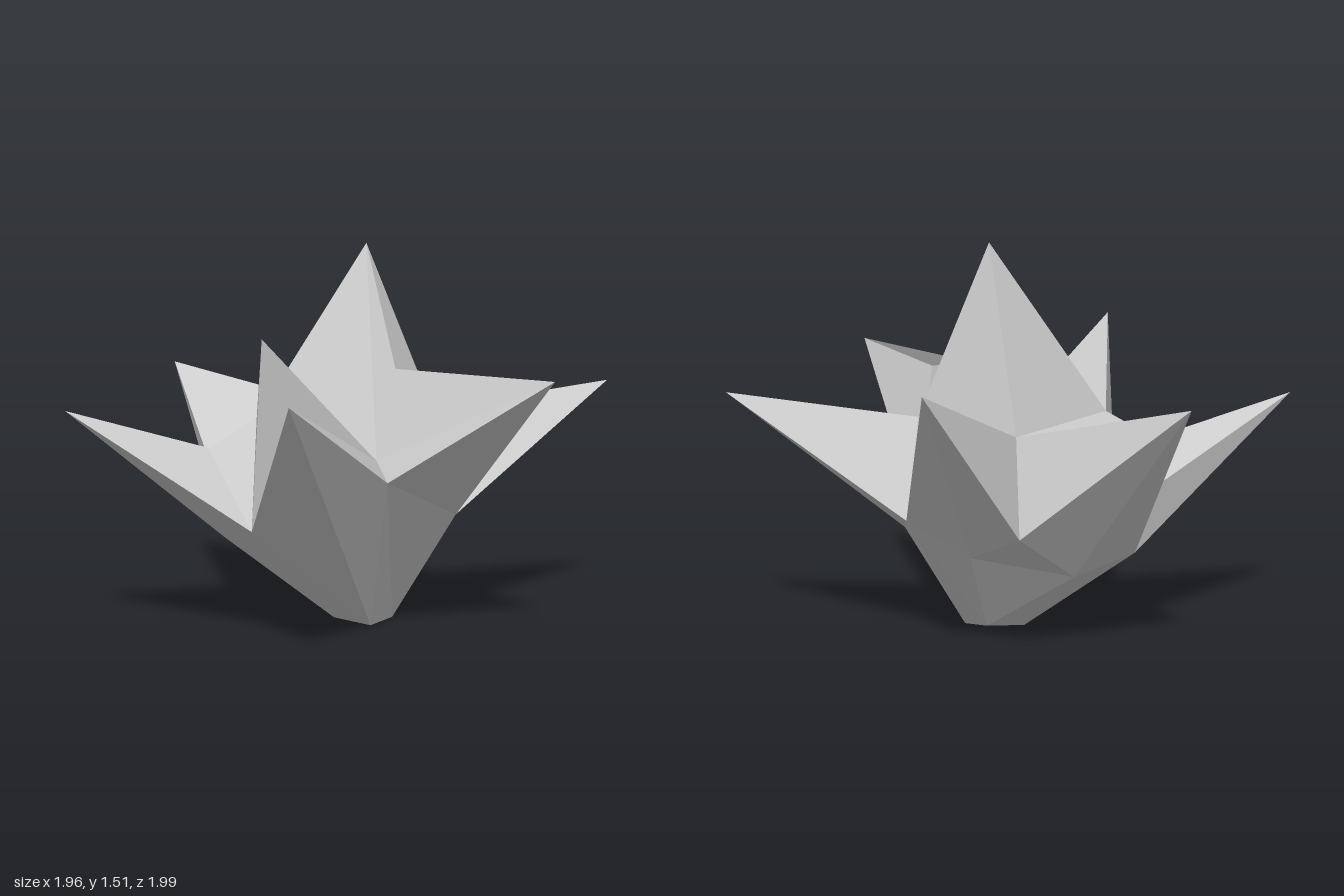
import * as THREE from 'three';

// Corners where neighbouring spikes meet, [x, y, z]
const P = {
  // upper rim and valleys
  crownLeftBack: [0.21, 0.84, -0.39], crownRightBack: [-0.31, 0.82, -0.39],
  crownRight: [-0.22, 0.84, 0.22], crownFront: [0.26, 0.70, 0.10],
  crownLeft: [0.21, 1.03, -0.11], ridge: [0.49, 0.98, -0.04],
  back: [0.08, 0.48, -0.58], leftBack: [0.43, 0.46, -0.21],
  leftFront: [0.40, 0.65, 0.24], front: [-0.06, 0.45, 0.47],
  rightInner: [-0.35, 0.73, 0.36], rightOuter: [-0.50, 0.56, 0.13],
  // underside
  underRightBack: [-0.43, 0.47, -0.50], underRightFront: [-0.45, 0.32, 0.13],
  underRight: [-0.43, 0.28, -0.20], underLeftBack: [0.27, 0.40, -0.41],
  underBack: [-0.14, 0.35, -0.46],
  // small foot
  footA: [0.13, 0, -0.06], footB: [-0.06, 0, -0.08],
  footC: [-0.01, 0.02, -0.24], footD: [0.13, 0, -0.22],
};

// Spikes: tip and the ring around its base, counter-clockwise seen from the tip
const spikes = {
  centreSpike: [[0.02, 1.51, -0.19],
    'crownRightBack', 'crownRight', 'crownFront', 'crownLeft', 'crownLeftBack'],
  frontInnerSpike: [[0.03, 1.19, 0.52], 'crownRight', 'front', 'crownFront'],
  frontLeftSpike: [[0.49, 1.03, 0.99], 'crownFront', 'front', 'footA', 'leftFront'],
  frontRightSpike: [[-0.69, 0.90, 0.80],
    'rightInner', 'rightOuter', 'underRightFront', 'front'],
  rightSpike: [[-0.98, 0.97, -0.21],
    'crownRightBack', 'underRightBack', 'underRight', 'underRightFront', 'rightOuter'],
  backRightSpike: [[-0.45, 1.05, -1.0],
    'crownRightBack', 'back', 'underBack', 'underRightBack'],
  backLeftSpike: [[0.73, 0.94, -0.91],
    'crownLeftBack', 'leftBack', 'underLeftBack', 'back'],
  leftSpike: [[0.98, 1.05, 0.03],
    'crownLeft', 'crownFront', 'leftFront', 'leftBack', 'ridge'],
};

// Panels filling the gaps: each is an open fan around its first corner
const panels = {
  valleyPanels: [
    ['rightInner', 'front', 'crownRight', 'crownRightBack', 'rightOuter'],
    ['crownLeftBack', 'back', 'crownRightBack'],
    ['crownLeft', 'ridge', 'leftBack', 'crownLeftBack'],
  ],
  lowerBody: [
    ['footD', 'footC', 'back', 'underLeftBack', 'leftBack', 'leftFront', 'footA', 'footB', 'footC'],
    ['footC', 'footB', 'underRight', 'underBack', 'back'],
    ['footB', 'footA', 'front', 'underRightFront', 'underRight'],
    ['underRightBack', 'underBack', 'underRight'],
  ],
};

// Triangles from a hub to each pair of neighbouring rim corners
function fan(hub, rim) {
  const out = [];
  for (let i = 0; i < rim.length - 1; i++) out.push(...hub, ...rim[i], ...rim[i + 1]);
  return out;
}

export function createModel() {
  const group = new THREE.Group();
  const material = new THREE.MeshStandardMaterial({ color: 0xcccccc, flatShading: true });

  function addPart(name, positions) {
    const geometry = new THREE.BufferGeometry();
    geometry.setAttribute('position', new THREE.Float32BufferAttribute(positions, 3));
    geometry.computeVertexNormals();
    const mesh = new THREE.Mesh(geometry, material);
    mesh.name = name;
    group.add(mesh);
  }

  for (const [name, [tip, ...ring]] of Object.entries(spikes)) {
    addPart(name, fan(tip, [...ring, ring[0]].map((k) => P[k])));
  }
  for (const [name, fans] of Object.entries(panels)) {
    addPart(name, fans.flatMap(([hub, ...rim]) => fan(P[hub], rim.map((k) => P[k]))));
  }
  return group;
}
